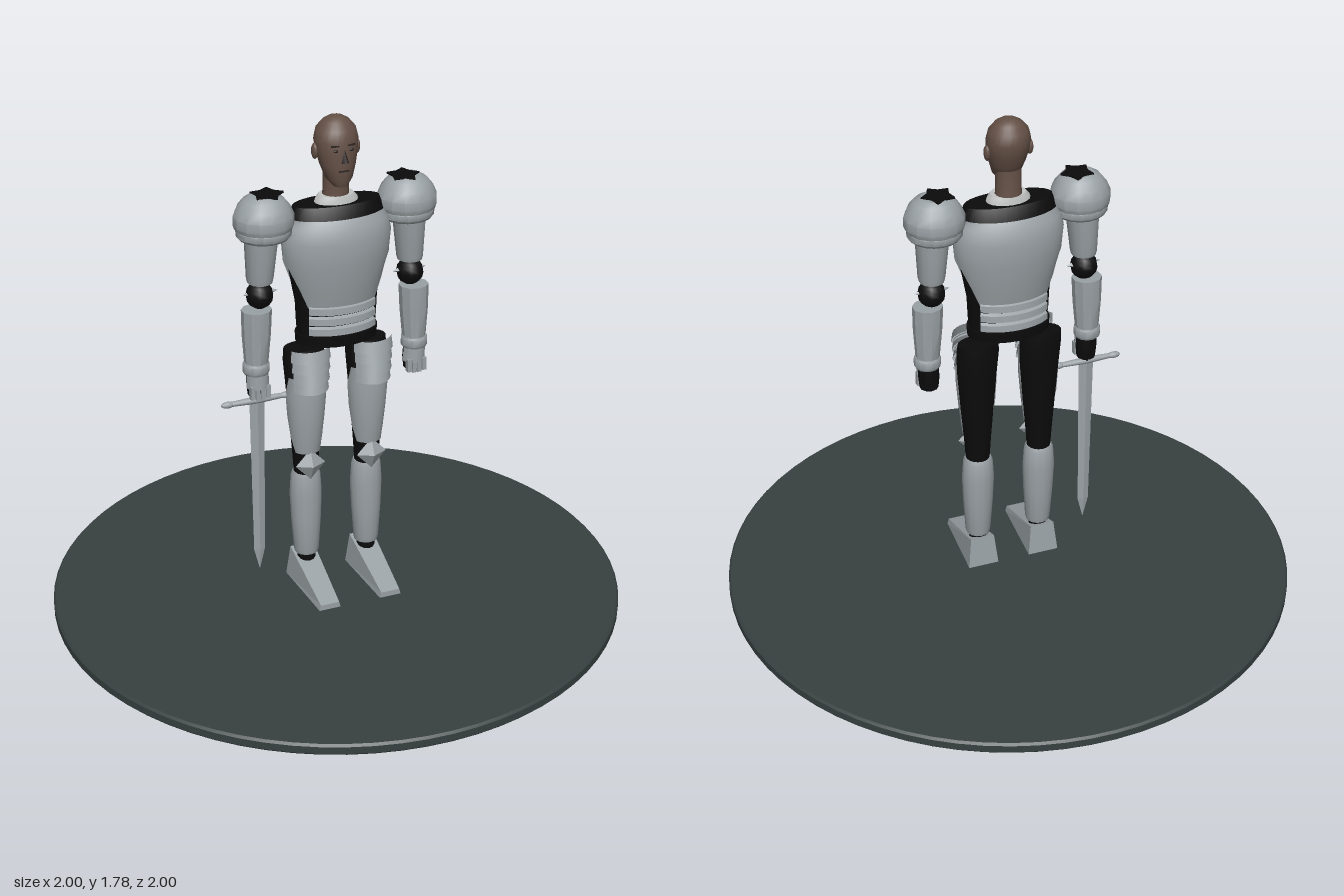
import * as THREE from 'three';
import { toCreasedNormals } from 'three/addons/utils/BufferGeometryUtils.js';

const mat = (name, color, side = THREE.DoubleSide) => {
  const m = new THREE.MeshStandardMaterial({ color, side });
  m.name = name;
  return m;
};

// Surface through stacked elliptical rings [y, x, z, rx, rz, halfAngle], lowest first.
// Without halfAngle it is a closed, capped solid; with it, an open arc around direction `facing`.
function loft(rings, { n = 18, facing = 0, crease = 0.6 } = {}) {
  const open = rings[0][5] !== undefined;
  const pos = [], idx = [], w = n + 1;
  for (const [y, x, z, rx, rz, half = Math.PI] of rings)
    for (let i = 0; i <= n; i++) {
      const k = !open && i === n ? 0 : i;
      const t = facing - (open ? half : 0) + (2 * half * k) / n;
      pos.push(x + rx * Math.sin(t), y, z + rz * Math.cos(t));
    }
  for (let j = 0; j < rings.length - 1; j++)
    for (let i = 0; i < n; i++) {
      const a = j * w + i, b = a + 1, c = b + w, d = a + w;
      idx.push(a, b, c, a, c, d);
    }
  if (!open) {
    const top = (rings.length - 1) * w, c = pos.length / 3;
    for (const r of [rings[0], rings[rings.length - 1]]) pos.push(r[1], r[0], r[2]);
    for (let i = 0; i < n; i++) idx.push(c, i + 1, i, c + 1, top + i, top + i + 1);
  }
  const g = new THREE.BufferGeometry();
  g.setAttribute('position', new THREE.Float32BufferAttribute(pos, 3));
  g.setIndex(idx);
  return toCreasedNormals(g, crease);
}

export function createModel() {
  const model = new THREE.Group();
  model.name = 'armouredFigure';
  const steel = mat('armour steel', 0x9aa1a5);
  const black = mat('black undersuit', 0x0b0b0c);
  const skin = mat('skin', 0x645046);
  const dark = mat('dark features', 0x2c2524);
  const white = mat('pale collar', 0xc4c6c5);
  const stone = mat('base slate', 0x374040);

  const add = (name, geo, m, x = 0, y = 0, z = 0, parent = model) => {
    const mesh = new THREE.Mesh(geo, m);
    mesh.name = name;
    mesh.position.set(x, y, z);
    parent.add(mesh);
    return mesh;
  };

  // Round base with softened rim
  add('base', loft([[0, 0, 0, 0.992, 0.992], [0.008, 0, 0, 1, 1], [0.034, 0, 0, 1, 1], [0.042, 0, 0, 0.993, 0.993]],
    { n: 72, crease: 0.4 }), stone);

  // Head, neck and collar
  add('head', loft([
    [1.55, 0, 0.036, 0.024, 0.028], [1.575, 0, 0.022, 0.045, 0.049], [1.62, 0, 0.012, 0.06, 0.06],
    [1.66, 0, 0.004, 0.069, 0.067], [1.7, 0, -0.002, 0.074, 0.07], [1.735, 0, -0.004, 0.066, 0.062],
    [1.76, 0, -0.004, 0.045, 0.042], [1.772, 0, -0.004, 0.025, 0.023], [1.777, 0, -0.004, 0.006, 0.006]],
    { n: 24, crease: 1 }), skin);
  add('neck', loft([[1.48, 0, -0.005, 0.05, 0.046], [1.52, 0, -0.003, 0.044, 0.041], [1.6, 0, 0, 0.044, 0.04]]), skin);
  add('collar', loft([[1.475, 0, 0, 0.078, 0.052], [1.495, 0, 0, 0.073, 0.049], [1.51, 0, 0, 0.06, 0.046]]), white);
  const nose = add('nose', new THREE.ConeGeometry(0.013, 0.045, 4), dark, 0, 1.66, 0.076);
  nose.rotation.x = -0.15;
  add('mouth', new THREE.BoxGeometry(0.035, 0.005, 0.008), dark, 0, 1.608, 0.069);
  for (const s of [-1, 1]) {
    add('eye', new THREE.SphereGeometry(0.009, 10, 6).scale(1, 0.6, 0.5), dark, s * 0.027, 1.677, 0.065);
    add('eyebrow', new THREE.BoxGeometry(0.026, 0.005, 0.008), dark, s * 0.028, 1.693, 0.063);
    add('ear', new THREE.SphereGeometry(0.025, 10, 8).scale(0.45, 1.1, 0.65), skin, s * 0.073, 1.663, -0.003);
  }

  // Torso undersuit and belt
  add('torso', loft([
    [1.0, 0, 0, 0.135, 0.076], [1.06, 0, 0, 0.141, 0.078], [1.14, 0, 0, 0.145, 0.076], [1.25, 0, 0, 0.165, 0.09],
    [1.36, 0, 0, 0.176, 0.096], [1.44, 0, 0, 0.168, 0.085], [1.485, 0, 0, 0.152, 0.06]], { n: 28 }), black);
  add('belt', loft([[0.995, 0, 0, 0.143, 0.09], [1.03, 0, 0, 0.145, 0.092]], { n: 28 }), black);

  // Breastplate, backplate and waist bands
  for (const [side, facing] of [['front', 0], ['back', Math.PI]]) {
    add(side + 'Chestplate', loft([
      [1.135, 0, 0, 0.146, 0.084, 0.95], [1.2, 0, 0, 0.16, 0.097, 1.13], [1.29, 0, 0, 0.184, 0.11, 1.45],
      [1.37, 0, 0, 0.191, 0.115, 1.57], [1.42, 0, 0, 0.181, 0.104, 1.5], [1.447, 0, 0, 0.169, 0.088, 1.2]],
      { n: 24, facing }), steel);
    for (let i = 0; i < 3; i++) {
      const y = 1.034 + i * 0.037;
      add(side + 'WaistBand', loft([
        [y, 0, 0, 0.145, 0.08, 0.92], [y + 0.005, 0, 0, 0.15, 0.094, 0.92],
        [y + 0.028, 0, 0, 0.15, 0.092, 0.92], [y + 0.034, 0, 0, 0.145, 0.08, 0.92]], { n: 16, facing }), steel);
    }
  }

  // Five-pointed opening on top of each shoulder guard
  const star = new THREE.Shape();
  for (let i = 0; i < 10; i++) {
    const r = i % 2 ? 0.038 : 0.058, t = (i * Math.PI) / 5;
    star[i ? 'lineTo' : 'moveTo'](r * Math.cos(t), r * Math.sin(t));
  }
  const starGeo = new THREE.ExtrudeGeometry(star, { depth: 0.006, bevelEnabled: false }).rotateX(-Math.PI / 2);

  // Wedge-shaped armoured shoe, from a box with its corners moved
  const shoe = new THREE.BoxGeometry(2, 2, 2).toNonIndexed();
  const p = shoe.attributes.position;
  for (let i = 0; i < p.count; i++) {
    const up = p.getY(i) > 0, front = p.getZ(i) > 0;
    const half = front ? (up ? 0.034 : 0.039) : (up ? 0.043 : 0.055);
    p.setXYZ(i, p.getX(i) * half, up ? (front ? 0.09 : 0.182) : 0.07, front ? 0.225 : (up ? -0.044 : -0.056));
  }
  shoe.computeVertexNormals();

  for (const s of [-1, 1]) {
    const side = s > 0 ? 'left' : 'right';
    const arm = new THREE.Group(), leg = new THREE.Group();
    arm.name = side + 'Arm';
    leg.name = side + 'Leg';
    model.add(arm, leg);
    const a = (name, geo, m, ...at) => add(name, geo, m, ...(at.length ? at : [0, 0, 0]), arm);
    const l = (name, geo, m, ...at) => add(name, geo, m, ...(at.length ? at : [0, 0, 0]), leg);

    // Shoulder guard: domed cap over a rolled band
    const sx = s * 0.253;
    a('shoulderGuard', loft([
      [1.425, sx, 0, 0.096, 0.092], [1.44, sx, 0, 0.102, 0.097], [1.47, sx, 0, 0.101, 0.096],
      [1.5, sx, 0, 0.088, 0.085], [1.525, sx, 0, 0.068, 0.066], [1.538, sx, 0, 0.045, 0.045]], { n: 14, crease: 0.5 }), steel);
    a('shoulderBand', loft([
      [1.392, sx, 0, 0.083, 0.08], [1.402, sx, 0, 0.092, 0.088], [1.422, sx, 0, 0.094, 0.09],
      [1.432, sx, 0, 0.088, 0.085]]), steel);
    a('shoulderOpening', starGeo, black, s * 0.24, 1.536, 0);

    // Upper arm, elbow, forearm, cuff
    a('upperArm', loft([
      [1.235, s * 0.268, -0.003, 0.042, 0.044], [1.25, s * 0.268, -0.003, 0.046, 0.047],
      [1.4, s * 0.262, 0, 0.058, 0.057]], { n: 14 }), steel);
    a('elbow', new THREE.SphereGeometry(0.047, 10, 8), black, s * 0.27, 1.188, -0.004);
    a('elbowGuard', new THREE.OctahedronGeometry(1).scale(0.062, 0.025, 0.03), steel, s * 0.268, 1.196, -0.004);
    a('forearm', loft([
      [0.94, s * 0.287, 0, 0.04, 0.04], [1.05, s * 0.285, 0, 0.049, 0.046],
      [1.14, s * 0.283, 0, 0.052, 0.048]], { n: 10 }), steel);
    a('wristCuff', loft([
      [0.91, s * 0.288, 0, 0.042, 0.041], [0.918, s * 0.288, 0, 0.046, 0.045],
      [0.942, s * 0.288, 0, 0.046, 0.045], [0.95, s * 0.288, 0, 0.042, 0.041]], { n: 14 }), steel);

    // Hand with armoured back and fingers
    a('hand', loft([
      [0.828, s * 0.285, -0.002, 0.032, 0.032], [0.87, s * 0.285, -0.002, 0.036, 0.036],
      [0.912, s * 0.286, -0.002, 0.034, 0.034]], { n: 10 }), black);
    a('handPlate', loft([
      [0.86, s * 0.285, 0, 0.041, 0.041, 1.4], [0.912, s * 0.286, 0, 0.04, 0.039, 1.4]], { n: 8 }), steel);
    for (let i = 0; i < 4; i++)
      a('finger', new THREE.BoxGeometry(0.015, 0.046, 0.022), steel,
        s * (0.258 + i * 0.018), 0.845 + (i === 0 || i === 3 ? 0.004 : 0), 0.027);

    // Thigh undersuit and front plate
    const lx = s * 0.113;
    l('thigh', loft([
      [0.49, lx, 0, 0.041, 0.042], [0.58, lx, 0, 0.047, 0.047], [0.7, lx, 0.001, 0.057, 0.053],
      [0.85, lx, -0.002, 0.069, 0.058], [0.93, lx, -0.01, 0.074, 0.053], [0.97, lx, -0.013, 0.071, 0.047]]), black);
    l('thighPlate', loft([
      [0.59, lx, 0.002, 0.051, 0.05, 1.1], [0.64, lx, 0.003, 0.056, 0.056, 1.5], [0.72, lx, 0.004, 0.064, 0.062, 1.75],
      [0.81, lx, 0.003, 0.072, 0.065, 1.6], [0.88, lx, 0, 0.075, 0.063, 1.15]]), steel);

    // Overlapping hip plates
    for (let i = 0; i < 4; i++) {
      const y = 0.95 - i * 0.037, r = 0.08 - i * 0.003, d = 0.078 + (i < 3 ? i * 0.004 : 0.004);
      l('hipPlate', loft([
        [y - 0.004, lx, 0.02, r - 0.004, d - 0.012, 1.1], [y, lx, 0.02, r, d + 0.004, 1.1],
        [y + 0.04, lx, 0.02, r - 0.004, d - 0.01, 1.1]], { n: 10 }), steel);
    }

    // Knee cap, greave, ankle and shoe
    l('kneeCap', new THREE.OctahedronGeometry(1).scale(0.054, 0.058, 0.028), steel, lx, 0.548, 0.047);
    l('greave', loft([
      [0.185, lx, 0.002, 0.041, 0.04], [0.2, lx, 0.002, 0.045, 0.043], [0.32, lx, 0, 0.053, 0.05],
      [0.42, lx, -0.002, 0.057, 0.052], [0.49, lx, -0.002, 0.052, 0.049], [0.505, lx, -0.001, 0.046, 0.044]], { n: 14 }), steel);
    l('ankle', new THREE.CylinderGeometry(0.033, 0.033, 0.06, 12), black, lx, 0.165, 0);
    l('shoe', shoe, steel, lx, 0, 0);
  }

  // Sword held point-down in the right hand
  const sword = new THREE.Group();
  sword.name = 'sword';
  sword.position.x = -0.287;
  model.add(sword);
  add('blade', loft([[0.148, 0, 0, 0.001, 0.001], [0.225, 0, 0, 0.02, 0.007], [0.805, 0, 0, 0.027, 0.009]],
    { n: 4, crease: 0.05 }), steel, 0, 0, 0, sword);
  add('grip', new THREE.CylinderGeometry(0.012, 0.012, 0.11, 10), black, 0, 0.86, 0, sword);
  for (const s of [-1, 1]) {
    const guard = new THREE.CylinderGeometry(0.008, 0.013, 0.11, 10).rotateZ(-s * Math.PI / 2);
    add('crossguard', guard, steel, s * 0.055, 0.806, 0, sword);
    add('crossguardTip', new THREE.SphereGeometry(0.013, 10, 8).scale(1.9, 0.9, 0.9), steel, s * 0.103, 0.806, 0, sword);
  }
  return model;
}
